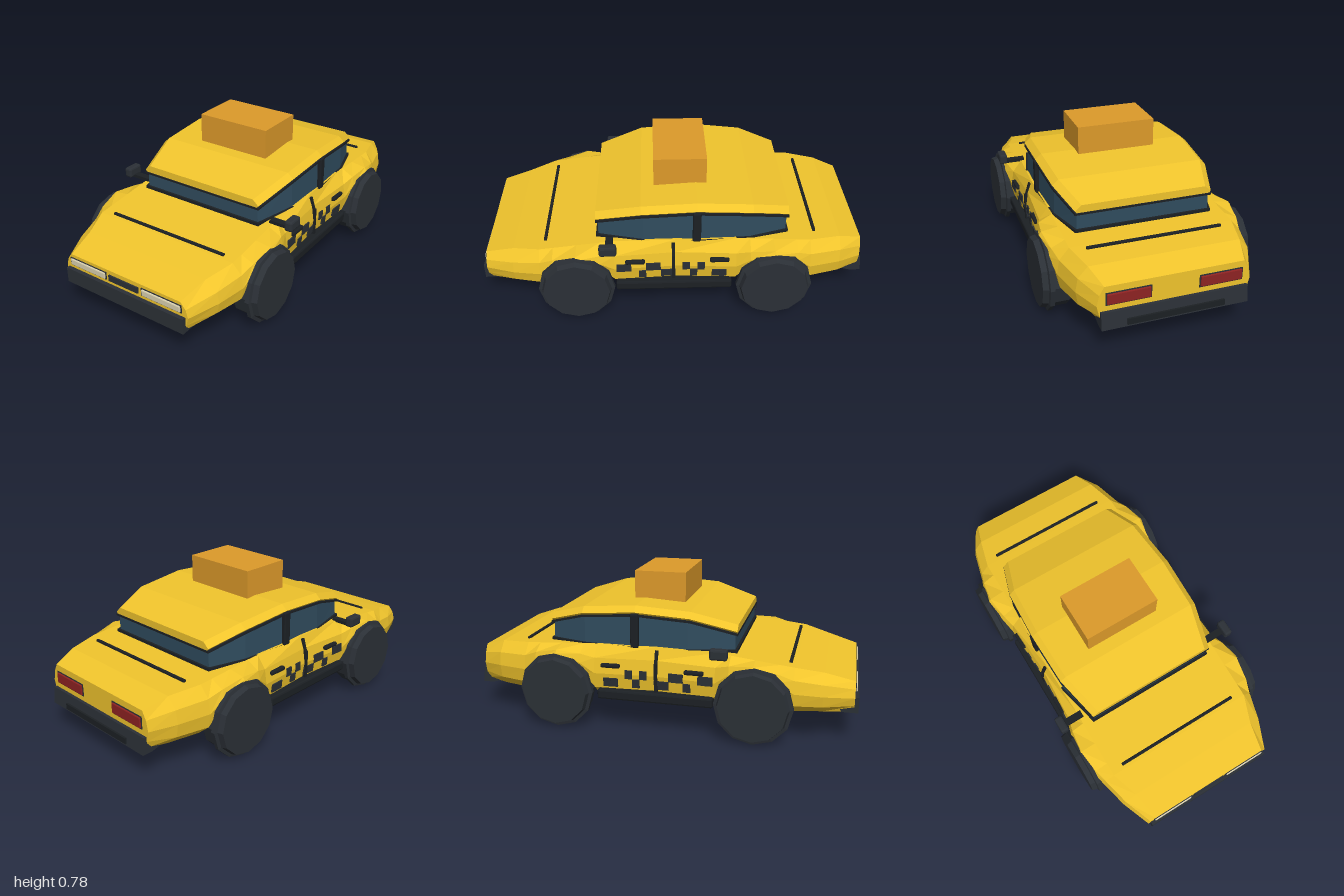
import * as THREE from 'three';
import { RoundedBoxGeometry } from 'three/addons/geometries/RoundedBoxGeometry.js';

const mat = (color) => new THREE.MeshStandardMaterial({ color, flatShading: true });

// Lofts mirrored half sections [z, x,y, x,y, ...] (points run bottom to top), front to back
function loft(sections) {
  const pos = [], idx = [], n = sections[0].length - 1;
  for (const [z, ...p] of sections) {
    for (let i = 0; i < n; i += 2) pos.push(p[i], p[i + 1], z);
    for (let i = n - 2; i >= 0; i -= 2) pos.push(-p[i], p[i + 1], z);
  }
  const last = (sections.length - 1) * n;
  for (let s = 0; s < last; s += n) {
    for (let i = 0; i < n; i++) {
      const j = (i + 1) % n;
      idx.push(s + i, s + n + i, s + n + j, s + i, s + n + j, s + j);
    }
  }
  for (let i = 1; i < n - 1; i++) idx.push(0, i, i + 1, last, last + i + 1, last + i);
  const g = new THREE.BufferGeometry();
  g.setAttribute('position', new THREE.Float32BufferAttribute(pos, 3));
  g.setIndex(idx);
  const flat = g.toNonIndexed();
  flat.computeVertexNormals();
  return flat;
}

// Body half section: floor corner, bulging side, deck edge
function bodySection(z, floorW, sideW, deckW, floor, deck) {
  const at = (t) => floor + (deck - floor) * t;
  return [z, floorW, floor, sideW - 0.012, at(0.22), sideW, at(0.5), sideW - 0.012, at(0.78), deckW, deck];
}

// Five sections that lift the floor and flare the side over an axle
function archSections(axle, deckFront, deckBack) {
  return [0.19, 0.12, 0, -0.12, -0.19].map((d) => {
    const lift = Math.cos(d / 0.19 * Math.PI / 2);
    const deck = THREE.MathUtils.lerp(deckBack, deckFront, (d + 0.19) / 0.38);
    return bodySection(axle + d, 0.39, 0.47 + 0.035 * lift, 0.41, 0.15 + 0.21 * lift, deck);
  });
}

// Extrudes a z,y profile across the width of the car
function across(points, width) {
  const shape = new THREE.Shape(points.map(([z, y]) => new THREE.Vector2(z, y)));
  const g = new THREE.ExtrudeGeometry(shape, { depth: width, bevelEnabled: false });
  return g.rotateY(-Math.PI / 2).translate(width / 2, 0, 0);
}

export function createModel() {
  const car = new THREE.Group();
  car.name = 'taxi';
  const yellow = mat(0xf0c42c), dark = mat(0x2b3036), black = mat(0x1c2024);
  const glass = mat(0x304c5e), cream = mat(0xd8cfae), red = mat(0x8e2222), orange = mat(0xdd9a2a);

  const add = (name, geo, material, x = 0, y = 0, z = 0) => {
    const m = new THREE.Mesh(geo, material);
    m.name = name;
    m.position.set(x, y, z);
    car.add(m);
    return m;
  };
  // Box from centre and size
  const box = (name, material, [x, y, z], [w, h, d], round = 0) =>
    add(name, round ? new RoundedBoxGeometry(w, h, d, 1, round) : new THREE.BoxGeometry(w, h, d), material, x, y, z);

  // Lower body, with wheel arches raised across the underside
  add('body', loft([
    bodySection(0.98, 0.35, 0.375, 0.335, 0.16, 0.31),
    bodySection(0.83, 0.36, 0.435, 0.36, 0.15, 0.35),
    ...archSections(0.5, 0.38, 0.425),
    bodySection(0, 0.4, 0.455, 0.42, 0.15, 0.435),
    ...archSections(-0.5, 0.43, 0.41),
    bodySection(-0.85, 0.36, 0.43, 0.37, 0.155, 0.398),
    bodySection(-0.97, 0.34, 0.37, 0.335, 0.17, 0.36),
  ]), yellow);

  // Cabin outline: z, half width, roof edge height
  const cabin = [[0.39, 0.35, 0.515], [0.16, 0.405, 0.58], [-0.1, 0.412, 0.598], [-0.38, 0.397, 0.575], [-0.57, 0.34, 0.52]];
  const trim = (lo, hi) => loft(cabin.map(([z, w, y]) => [z + Math.sign(z) * 0.012, w + 0.008, lo(y), w + 0.008, hi(y)]));
  add('windows', loft(cabin.map(([z, w, y]) => [z, w, 0.4, w - 0.005, y])), glass);
  add('upperWindowTrim', trim((y) => y - 0.013, (y) => y - 0.002), black);
  add('lowerWindowTrim', trim(() => 0.405, () => 0.43), black);
  add('roof', loft(cabin.map(([z, w, y]) =>
    [z + Math.sign(z) * 0.01, w - 0.008, y - 0.008, w + 0.007, y + 0.008, w - 0.025, y + 0.037])), yellow);
  box('roofSign', orange, [0, 0.688, -0.031], [0.41, 0.175, 0.271]);

  // Front and rear fittings
  add('frontBumper', across([[0.9, 0.19], [0.92, 0.155], [1, 0.155], [1, 0.235], [0.9, 0.235]], 0.72), dark);
  add('rearBumper', across([[-0.9, 0.16], [-0.95, 0.235], [-0.985, 0.235], [-0.995, 0.15], [-0.94, 0.15]], 0.71), dark);
  box('rearBumperPad', black, [0, 0.175, -0.99], [0.47, 0.03, 0.02]);
  box('grille', dark, [0, 0.272, 0.974], [0.18, 0.031, 0.028]);
  box('hoodSeam', black, [0, 0.384, 0.665], [0.69, 0.016, 0.016], 0.004);
  box('trunkSeam', black, [0, 0.409, -0.72], [0.676, 0.018, 0.016], 0.004);

  // Tyre half profile: shoulder ring and chamfered outer face
  const tyreGeo = new THREE.LatheGeometry([
    [0, 0], [0.165, 0], [0.178, 0.02], [0.178, 0.096], [0.195, 0.097],
    [0.195, 0.118], [0.178, 0.122], [0.17, 0.15], [0, 0.15],
  ].map(([r, h]) => new THREE.Vector2(r, h)), 12);

  // Door check rows, lower then upper, front to back
  const checkRows = ['...#..##..#..##.', '##..##...#.#....'];
  const cell = 0.0375;

  for (const s of [1, -1]) {
    const label = s > 0 ? 'left' : 'right';
    const pair = (name, material, [x, y, z], size, round) => box(label + name, material, [s * x, y, z], size, round);

    pair('Headlight', cream, [0.225, 0.273, 0.975], [0.224, 0.034, 0.03], 0.005);
    pair('HeadlightFrame', dark, [0.225, 0.273, 0.972], [0.234, 0.041, 0.024]);
    pair('TailLight', red, [0.222, 0.295, -0.965], [0.205, 0.054, 0.03], 0.004);
    pair('TailLightFrame', dark, [0.222, 0.295, -0.962], [0.215, 0.064, 0.022]);
    pair('Sill', black, [0.449, 0.186, 0.007], [0.078, 0.052, 0.595], 0.01);
    pair('MirrorArm', black, [0.45, 0.428, 0.333], [0.12, 0.017, 0.037]);
    pair('MirrorHead', dark, [0.511, 0.45, 0.336], [0.043, 0.054, 0.087], 0.01);
    pair('DoorPillar', black, [0.409, 0.512, -0.109], [0.038, 0.175, 0.042], 0.006);
    for (const [name, y, z] of [['FrontHandle', 0.329, 0.205], ['RearHandle', 0.334, -0.225]]) {
      pair(name, black, [0.458, y, z], [0.035, 0.022, 0.1], 0.008);
    }
    pair('DoorSeam', black, [0.446, 0.28, 0.01], [0.033, 0.16, 0.016]);
    // Upper seam leans in with the shoulder
    pair('UpperDoorSeam', black, [0.435, 0.385, 0.01], [0.024, 0.075, 0.016]).rotation.z = s * 0.3;

    checkRows.forEach((row, r) => [...row].forEach((mark, i) => {
      if (mark !== '#') return;
      const z = 0.3 - (i + 0.5) * cell;
      const x = 0.441 - 0.003 * (1 - r) + 0.05 * Math.abs(z);
      pair('DoorCheck', dark, [x, 0.248 + r * 0.045, z], [0.034, 0.045, cell]).rotation.z = -s * 0.1 * (1 - r);
    }));

    // Wheels
    for (const [name, z] of [['FrontWheel', 0.505], ['RearWheel', -0.505]]) {
      add(label + name, tyreGeo, dark, s * 0.385, 0.195, z).rotation.z = -s * Math.PI / 2;
    }
  }
  return car;
}
